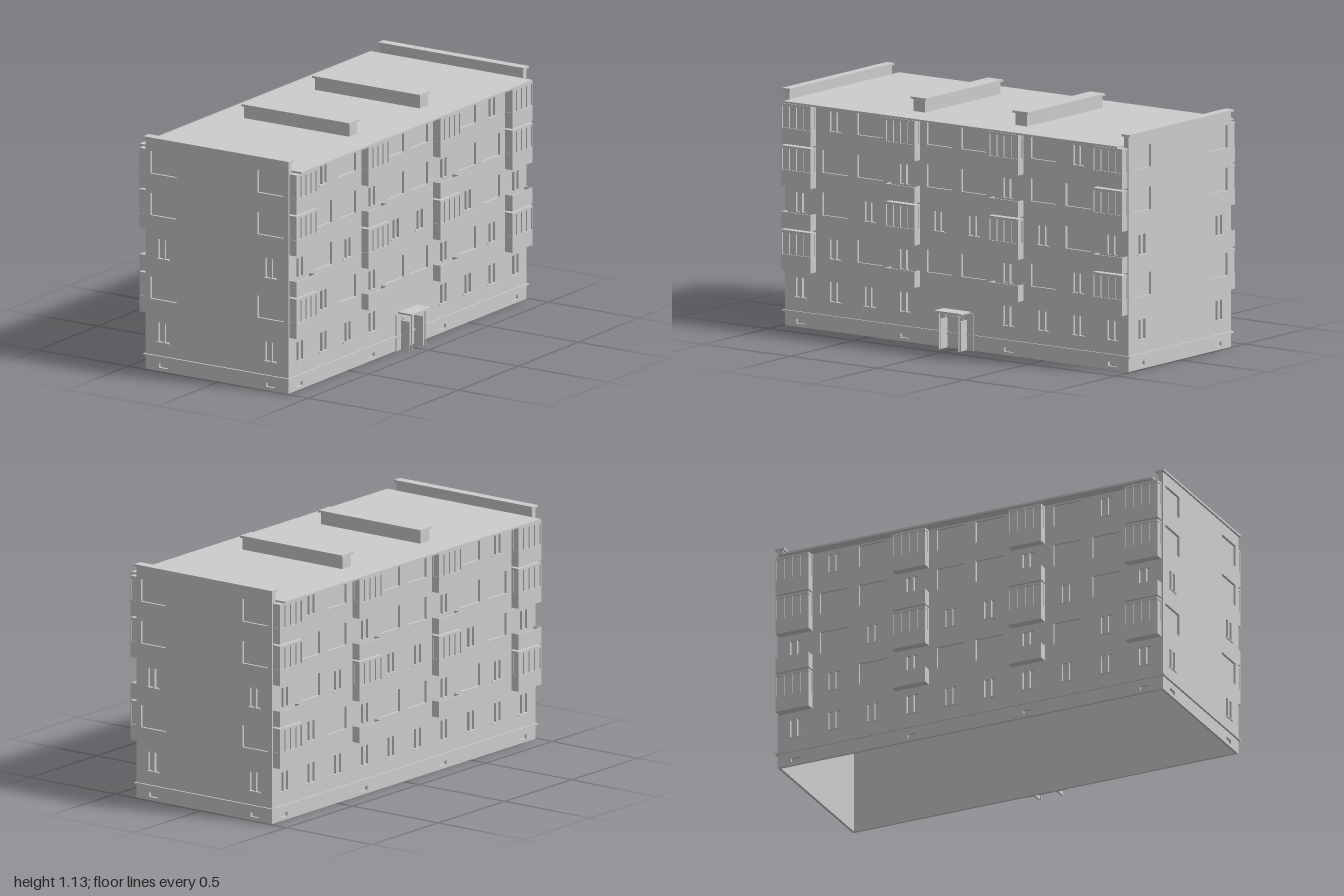
import * as THREE from 'three';

const CX = -0.012, HX = 0.396, HZ = 0.99, ROOF = 1.055, T = 0.012;

export function createModel() {
  const concrete = new THREE.MeshStandardMaterial({ color: 0xcccccc, side: THREE.DoubleSide });
  concrete.name = 'grey concrete';
  const model = new THREE.Group();
  model.name = 'apartmentBlock';

  const group = (name, parent) => {
    const g = new THREE.Group();
    g.name = name;
    parent.add(g);
    return g;
  };
  // box given by its minimum and maximum corners
  const box = (parent, name, x0, x1, y0, y1, z0, z1) => {
    const m = new THREE.Mesh(new THREE.BoxGeometry(x1 - x0, y1 - y0, z1 - z0), concrete);
    m.position.set((x0 + x1) / 2, (y0 + y1) / 2, (z0 + z1) / 2);
    m.name = name;
    parent.add(m);
    return m;
  };

  // openings are [centre, bottom, width, height]
  const wideWindow = (u, floor) => [[u, 0.14 + 0.2 * (floor - 1), 0.145, 0.107]];
  const sashWindow = (u, floor) => [-0.018, 0.018].map(d => [u + d, 0.14 + 0.2 * (floor - 1), 0.022, 0.092]);
  const vent = u => [[u, 0.016, 0.05, 0.02]];

  // wall with recessed openings, outer face on local z = 0
  function wall(parent, half, height, openings) {
    const shape = new THREE.Shape();
    shape.moveTo(-half, 0).lineTo(half, 0).lineTo(half, height).lineTo(-half, height).closePath();
    for (const [u, y, w, h] of openings) {
      const hole = new THREE.Path();
      hole.moveTo(u - w / 2, y).lineTo(u - w / 2, y + h).lineTo(u + w / 2, y + h).lineTo(u + w / 2, y).closePath();
      shape.holes.push(hole);
      const pane = new THREE.Mesh(new THREE.PlaneGeometry(w, h), concrete);
      pane.position.set(u, y + h / 2, -T);
      pane.name = 'windowPane';
      parent.add(pane);
    }
    const geo = new THREE.ExtrudeGeometry(shape, { depth: T, bevelEnabled: false });
    geo.translate(0, 0, -T);
    const m = new THREE.Mesh(geo, concrete);
    m.name = 'wall';
    parent.add(m);
  }
  const sill = (parent, u, floor) => {
    const y = 0.14 + 0.2 * (floor - 1);
    box(parent, 'windowSill', u - 0.035, u + 0.035, y - 0.004, y, 0, 0.006);
  };

  // balcony: slab and apron, glazed up to the next floor if enclosed
  function balcony(parent, u, floor, enclosed) {
    const g = group(enclosed ? 'glazedBalcony' : 'openBalcony', parent);
    const y = 0.267 + 0.198 * (floor - 2), h = 0.085, D = 0.041, t = 0.006;
    const a = u - h, b = u + h, rail = y + 0.076, top = y + 0.19;
    box(g, 'balconySlab', a, b, y, y + 0.008, 0, D);
    box(g, 'balconyApron', a, b, y, rail, D - t, D);
    for (const s of [a, b - t]) box(g, 'balconySide', s, s + t, y, rail, 0, D);
    if (!enclosed) return;
    box(g, 'balconyHead', a, b, top - 0.012, top, 0, D);
    box(g, 'balconyGlazing', a + 0.003, b - 0.003, rail, top - 0.012, 0, D - 0.006);
    for (let i = 0; i < 5; i++) {
      const x = a + i * (2 * h - t) / 4;
      box(g, 'balconyMullion', x, x + t, rail, top - 0.012, D - t, D);
    }
    for (const s of [a, b - t]) box(g, 'balconyCornerPost', s, s + t, rail, top - 0.012, 0, 0.008);
  }

  // end walls with parapets
  for (const s of [1, -1]) {
    const g = group(s > 0 ? 'frontWall' : 'backWall', model);
    g.position.set(CX, 0, s * HZ);
    if (s < 0) g.rotation.y = Math.PI;
    const openings = [];
    for (const u of [-0.297, 0.297]) {
      for (const f of [2, 4, 5]) openings.push(...wideWindow(u, f));
      for (const f of [1, 3]) {
        openings.push(...sashWindow(u, f));
        sill(g, u, f);
      }
      openings.push(...vent(u));
    }
    wall(g, HX, ROOF, openings);
    box(g, 'parapet', -HX, HX, ROOF, 1.105, -0.026, 0);
    box(g, 'parapetCap', -HX - 0.008, HX + 0.008, 1.105, 1.115, -0.036, 0.01);
    box(g, 'plinthLedge', -HX - 0.008, HX + 0.008, 0.066, 0.074, 0, 0.01);
  }

  // long walls with windows and balconies
  for (const s of [1, -1]) {
    const g = group(s > 0 ? 'leftWall' : 'rightWall', model);
    g.position.set(CX + s * HX, 0, 0);
    g.rotation.y = s * Math.PI / 2;
    const openings = [];
    const sashFloors = { 0.7: [1, 2, 5], 0.5: [1, 3], 0.1: [1, 3] };
    for (const m of [1, -1]) {
      for (const col of [0.7, 0.5, 0.1]) {
        for (let f = 1; f <= 5; f++) {
          if (col === 0.1 && f === 1 && s > 0) continue;
          if (sashFloors[col].includes(f)) {
            openings.push(...sashWindow(m * col, f));
            sill(g, m * col, f);
          } else openings.push(...wideWindow(m * col, f));
        }
      }
      for (const [col, open] of [[0.897, [3]], [0.298, [2, 4]]]) {
        openings.push(...sashWindow(m * col, 1), ...vent(m * col));
        sill(g, m * col, 1);
        for (let f = 2; f <= 5; f++) {
          balcony(g, m * col, f, !open.includes(f));
          if (open.includes(f)) openings.push(...sashWindow(m * col, f));
        }
      }
    }
    wall(g, HZ - T, ROOF, openings);
    box(g, 'plinthLedge', -HZ, HZ, 0.066, 0.074, 0, 0.008);
  }

  // roof and its two ventilation ridges
  box(model, 'roofSlab', CX - 0.45, CX + 0.45, ROOF, 1.064, -0.962, 0.962);
  for (const s of [1, -1]) {
    const z = s * 0.294;
    box(model, 'roofVent', CX - 0.292, CX + 0.292, 1.064, 1.122, z - 0.033, z + 0.033);
    box(model, 'roofVentCap', CX - 0.299, CX + 0.299, 1.122, 1.132, z - 0.044, z + 0.044);
  }

  // entrance porch
  const porch = group('entrancePorch', model);
  const X = CX + HX;
  box(porch, 'canopy', X, 0.46, 0.174, 0.182, -0.08, 0.076);
  box(porch, 'doorLeaf', X, X + 0.004, 0, 0.15, -0.04, 0.04);
  for (const s of [1, -1]) {
    box(porch, 'porchSide', X, 0.436, 0, 0.14, s * 0.058 - 0.004, s * 0.058 + 0.004);
    box(porch, 'canopyPost', 0.443, 0.448, 0, 0.174, s * 0.056 - 0.0025, s * 0.056 + 0.0025);
    box(porch, 'doorPilaster', X, X + 0.006, 0, 0.174, s * 0.08 - 0.02, s * 0.08 + 0.02);
  }
  return model;
}
